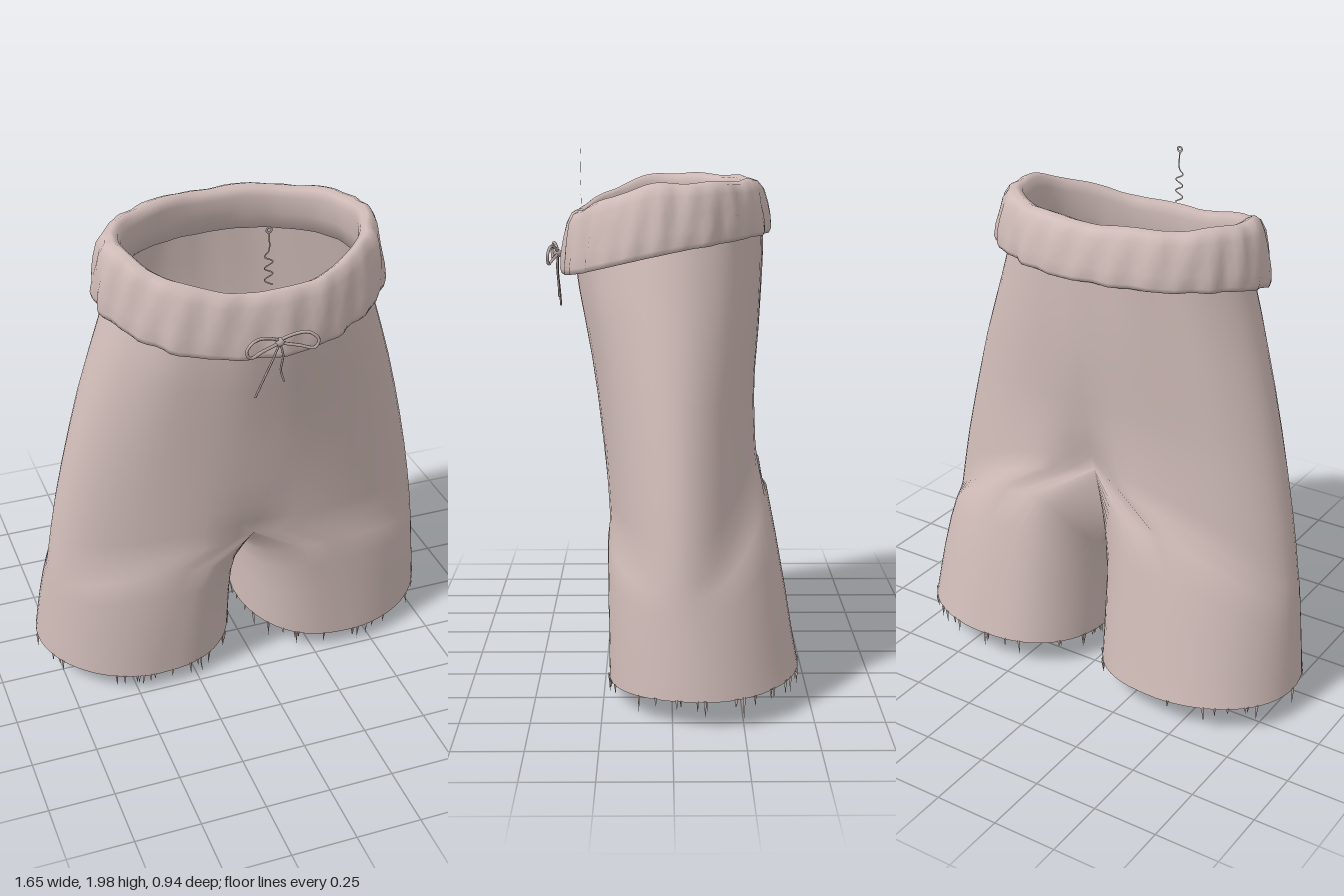
import * as THREE from 'three';
import { mergeGeometries, mergeVertices } from 'three/addons/utils/BufferGeometryUtils.js';

const { PI, sin, cos, max, abs } = Math;
const V = (x, y, z) => new THREE.Vector3(x, y, z);
const cloth = new THREE.MeshStandardMaterial({ color: 0xd0bcb8, side: THREE.DoubleSide });
cloth.name = 'cloth';
const cord = new THREE.MeshStandardMaterial({ color: 0xb8a8a5, side: THREE.DoubleSide });
cord.name = 'cord';

let seed = 7;
const rand = () => (seed = (seed * 16807) % 2147483647) / 2147483647;

// Skin rows of points; keep(row, column) may leave quads out
function loft(rows, keep = () => true) {
  const n = rows[0].length, index = [];
  for (let i = 0; i < rows.length - 1; i++) {
    for (let j = 0; j < n; j++) {
      if (!keep(i, j)) continue;
      const k = (j + 1) % n;
      const a = i * n + j, b = i * n + k, c = (i + 1) * n + k, d = (i + 1) * n + j;
      index.push(a, b, c, a, c, d);
    }
  }
  const g = new THREE.BufferGeometry();
  g.setAttribute('position', new THREE.Float32BufferAttribute(rows.flat().flatMap((p) => p.toArray()), 3));
  g.setIndex(index);
  return g;
}

// Copy of a geometry on the other side of x = 0
function mirrored(g) {
  const m = g.clone().scale(-1, 1, 1);
  const idx = m.index.array;
  for (let i = 0; i < idx.length; i += 3) [idx[i], idx[i + 1]] = [idx[i + 1], idx[i]];
  return m;
}

function bothSides(g) {
  const whole = mergeVertices(mergeGeometries([g, mirrored(g)]), 1e-4);
  whole.computeVertexNormals();
  return whole;
}

// Body levels: y, outer x, seam x, inner x, front z, back z, front rise, back rise, front groove, back groove
const LEVELS = [
  [0.105, 0.82, 0.42, 0.03, 0.23, -0.465, -0.025, 0.025, 0, 0],
  [0.2, 0.812, 0.4, 0.03, 0.232, -0.445, -0.02, 0.04, 0, 0],
  [0.3, 0.8, 0.37, 0.03, 0.234, -0.42, 0, 0.1, 0, 0],
  [0.4, 0.787, 0.32, 0.028, 0.237, -0.385, 0.05, 0.2, 0, 0],
  [0.47, 0.777, 0.24, 0.02, 0.24, -0.355, 0.09, 0.29, 0, 0],
  [0.53, 0.77, 0, 0, 0.245, -0.335, 0.115, 0.36, 0.05, 0.09],
  [0.66, 0.75, 0, 0, 0.249, -0.328, 0.06, 0.29, 0.025, 0.07],
  [0.8, 0.725, 0, 0, 0.255, -0.325, 0.01, 0.22, 0.01, 0.045],
  [0.95, 0.693, 0, 0, 0.265, -0.322, -0.02, 0.15, 0, 0.025],
  [1.1, 0.657, 0, 0, 0.28, -0.325, -0.03, 0.1, 0, 0.01],
  [1.25, 0.617, 0, 0, 0.3, -0.335, -0.035, 0.08, 0, 0],
  [1.4, 0.57, 0, 0, 0.325, -0.343, -0.04, 0.07, 0, 0],
  [1.52, 0.53, 0, 0, 0.345, -0.348, -0.05, 0.06, 0, 0],
  [1.69, 0.475, 0, 0, 0.36, -0.35, -0.11, 0.05, 0, 0],
];
const CROTCH = 5, HALF = 32, RING = HALF * 2;

// Point on a level: the first half runs round the outside, the rest inside the leg
function bodyPoint([y, X, s, inner, zf, zb, riseF, riseB, grooveF, grooveB], u) {
  const a = u * 2 * PI, c = cos(a), w = abs(sin(a)) < 1e-6 ? 0 : sin(a);
  const x = w > 0 ? s + (X - s) * w : s - (s - inner) * abs(w) ** 0.7;
  const groove = Math.exp(-((x / 0.12) ** 2)) * (grooveB * max(0, -c) - grooveF * max(0, c));
  const gather = max(0, (y - 0.85) / 0.8) * 0.005 * sin(11 * a) * abs(c);
  const lift = y < 0.15 ? 0.015 * abs(w) : 0;
  return V(x, y + (c > 0 ? riseF : riseB) * c * c + lift, (zf + zb) / 2 + ((zf - zb) / 2) * c + groove + gather);
}
const ringOf = (level) => Array.from({ length: RING }, (_, j) => bodyPoint(level, j / RING));

// Hem lining with a small round opening
function hemLining() {
  const hole = Array.from({ length: RING }, (_, j) => {
    const a = (Math.round((j / RING) * 8) / 8) * 2 * PI;
    return V(0.23 + 0.14 * sin(a), 0.11 - 0.01 * cos(a), -0.12 + 0.14 * cos(a));
  });
  return loft([hole, ringOf(LEVELS[0])]);
}

// Frayed threads hanging from the hem
function hemThreads() {
  const threads = [];
  for (let i = 0; i < 48; i++) {
    const p = bodyPoint(LEVELS[0], rand());
    const len = 0.025 + 0.06 * rand() * rand();
    const g = new THREE.ConeGeometry(0.006, len, 3, 1, true);
    g.rotateX(PI).rotateY(rand() * PI).rotateZ((rand() - 0.5) * 0.25);
    g.translate(p.x, p.y - len / 2 + 0.005, p.z);
    threads.push(g);
  }
  return mergeGeometries(threads);
}

// Gathered waistband: section points (inner 0 to outer 1, bottom 0 to top 1)
function waistbandGeometry() {
  const section = [
    [0.3, 0.1], [0.75, 0.02], [0.95, 0], [1, 0.08], [0.96, 0.3], [0.86, 0.55], [0.74, 0.8],
    [0.55, 0.95], [0.3, 1], [0.08, 0.95], [0, 0.8], [0.05, 0.45], [0.3, 0.1],
  ];
  const n = 96;
  const rows = section.map(([k, h]) => Array.from({ length: n }, (_, j) => {
    const a = (j / n) * 2 * PI, c = cos(a);
    const top = 1.888 - 0.122 * max(0, c) ** 1.5 + 0.004 * sin(9 * a + 1);
    const bottom = 1.645 - 0.08 * c - 0.035 * c * c;
    const fold = k * (0.006 * sin(17 * a + 2 * h) + 0.005 * sin(26 * a - 3 * h + 1) + 0.005 * sin(7 * a));
    const rx = 0.44 + 0.105 * k + fold, rz = 0.295 + 0.094 * k + fold;
    return V(rx * sin(a), bottom + (top - bottom) * h, 0.035 - 0.015 * k + rz * c);
  }));
  const g = mergeVertices(loft(rows), 1e-5);
  g.computeVertexNormals();
  return g;
}

const cordTube = (points, r, closed = false) =>
  new THREE.TubeGeometry(new THREE.CatmullRomCurve3(points, closed), 48, r, 6, closed);

export function createModel() {
  const model = new THREE.Group();
  const add = (name, geometry, material, parent = model) => {
    const mesh = new THREE.Mesh(geometry, material);
    mesh.name = name;
    parent.add(mesh);
  };

  // Shorts body
  const side = loft(LEVELS.map(ringOf), (i, j) => i < CROTCH || j < HALF);
  add('shortsBody', bothSides(side), cloth);
  add('hemLinings', bothSides(hemLining()), cloth);
  add('leftHemThreads', hemThreads(), cloth);
  add('rightHemThreads', mirrored(hemThreads()), cloth);
  add('waistband', waistbandGeometry(), cloth);

  // Drawstring bow
  const bow = new THREE.Group();
  bow.name = 'drawstringBow';
  model.add(bow);
  for (const s of [1, -1]) {
    add('bowLoop', cordTube([
      V(0, 1.605, 0.43), V(s * 0.05, 1.63, 0.44), V(s * 0.1, 1.634, 0.452), V(s * 0.133, 1.605, 0.46),
      V(s * 0.12, 1.575, 0.458), V(s * 0.07, 1.585, 0.445),
    ], 0.006, true), cord, bow);
  }
  add('bowKnot', new THREE.SphereGeometry(0.016, 12, 8).translate(0, 1.603, 0.43), cord, bow);
  add('longTail', cordTube([V(0, 1.6, 0.43), V(-0.03, 1.53, 0.432), V(-0.06, 1.46, 0.428), V(-0.088, 1.395, 0.425)], 0.004), cord, bow);
  add('shortTail', cordTube([V(0, 1.6, 0.43), V(0.012, 1.55, 0.432), V(0.006, 1.49, 0.428), V(0.02, 1.44, 0.425)], 0.004), cord, bow);

  // Loose flat thread standing above the front of the waist
  const curl = [V(-0.01, 1.978, 0), V(-0.01, 1.91, 0)];
  for (let i = 0; i < 6; i++) curl.push(V(-0.01 + (i % 2 ? 0.016 : -0.016), 1.89 - i * 0.022, 0));
  const loose = new THREE.Group();
  loose.name = 'looseThread';
  loose.position.z = 0.34;
  loose.scale.z = 0.1;
  model.add(loose);
  add('threadCurl', cordTube(curl, 0.003), cord, loose);
  add('threadEnd', new THREE.TorusGeometry(0.009, 0.004, 6, 16).translate(-0.01, 1.987, 0), cord, loose);

  return model;
}
